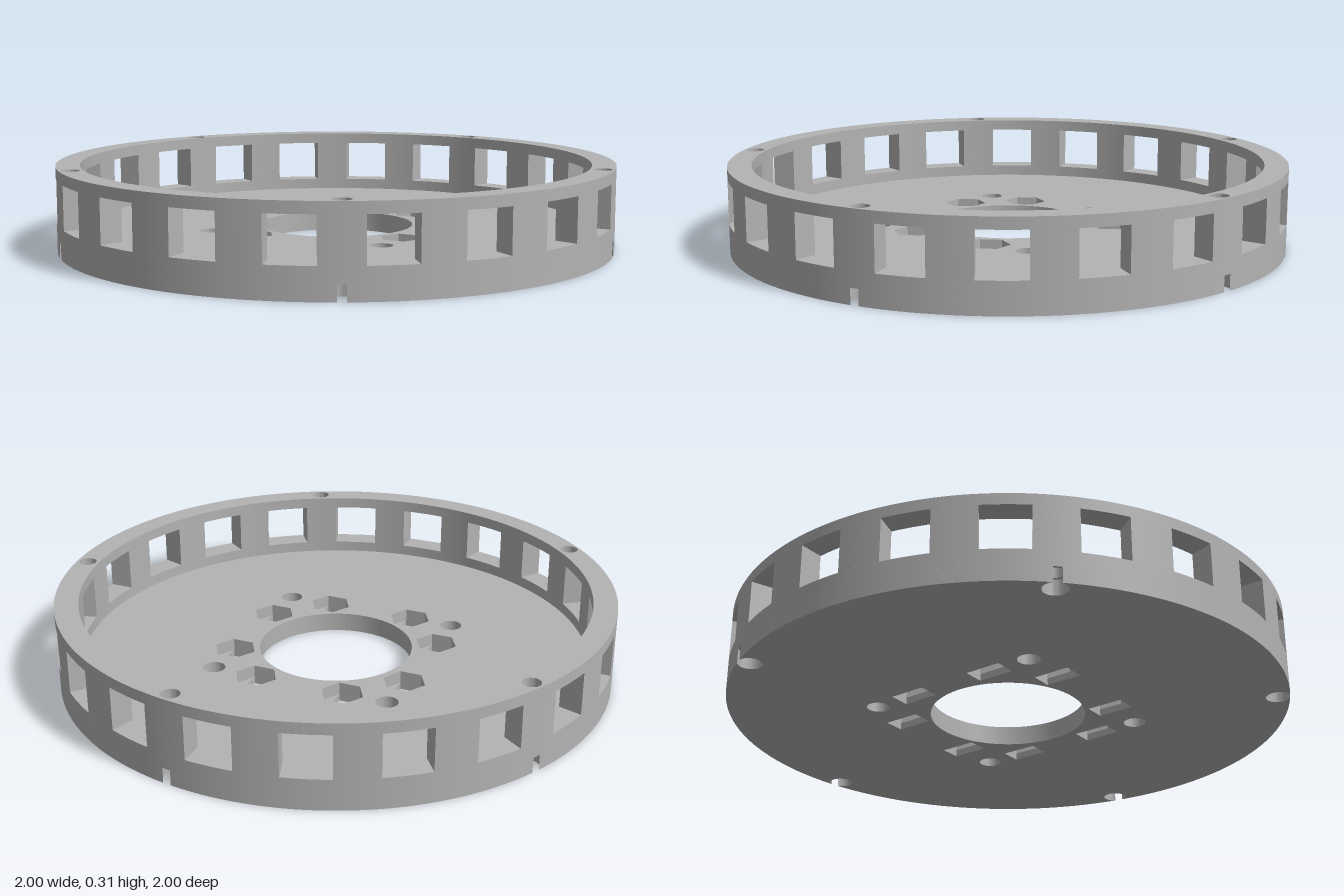
import * as THREE from 'three';
import { mergeGeometries, toCreasedNormals } from 'three/addons/utils/BufferGeometryUtils.js';

const R = 1, RI = 0.915, H = 0.305, FLOOR = 0.07; // outer / inner radius, height, floor thickness
const WIN_LOW = 0.11, WIN_HIGH = 0.265, WIN_HALF = 0.0825, WINDOWS = 20;
const BORE_TOP = 0.055, BORE_R = 0.043, BORE_GAP = 0.015, SCREW_R = 0.032;
const LEDGE = 0.025;
const RAD = Math.PI / 180;

// Points are (x, z) pairs; angles run from +x towards +z.
const arc = (cx, cz, r, a0, a1, n) => Array.from({ length: n + 1 }, (_, i) => {
  const a = a0 + (a1 - a0) * i / n;
  return new THREE.Vector2(cx + r * Math.cos(a), cz + r * Math.sin(a));
});
const circle = (cx, cz, r, n) => arc(cx, cz, r, 0, 2 * Math.PI, n).slice(0, n);
const reversed = (pts) => [...pts].reverse();

// Horizontal face at height y, looking up or down
function cap(outline, holes, y, up) {
  const shape = new THREE.Shape(outline);
  shape.holes = holes.map((h) => new THREE.Path(h));
  const g = new THREE.ShapeGeometry(shape).rotateX(Math.PI / 2).translate(0, y, 0);
  if (up) g.setIndex(Array.from(g.index.array).reverse());
  return finish(g);
}

// Upright strip along the points, facing outwards for rising angles
function wall(pts, y0, y1, closed = true) {
  const pos = [];
  const count = closed ? pts.length : pts.length - 1;
  for (let i = 0; i < count; i++) {
    const a = pts[i], b = pts[(i + 1) % pts.length];
    pos.push(a.x, y0, a.y, a.x, y1, a.y, b.x, y1, b.y);
    pos.push(a.x, y0, a.y, b.x, y1, b.y, b.x, y0, b.y);
  }
  const g = new THREE.BufferGeometry();
  g.setAttribute('position', new THREE.Float32BufferAttribute(pos, 3));
  return finish(g);
}

function finish(g) {
  const flat = g.index ? g.toNonIndexed() : g;
  flat.deleteAttribute('uv');
  flat.deleteAttribute('normal');
  flat.computeVertexNormals();
  return toCreasedNormals(flat, 30 * RAD);
}

export function createModel() {
  const group = new THREE.Group();
  const grey = new THREE.MeshStandardMaterial({ color: 0xb3b3b3 });
  grey.name = 'grey';
  const add = (name, parts) => {
    const mesh = new THREE.Mesh(mergeGeometries(parts), grey);
    mesh.name = name;
    group.add(mesh);
  };

  // Five screw holes in the rim, their wide lower bores breaking through the side
  const delta = Math.asin(BORE_GAP / R);
  const reach = Math.sqrt(BORE_R ** 2 - BORE_GAP ** 2);
  const boreC = R * Math.cos(delta) - reach;
  const beta = Math.atan2(BORE_GAP, reach);
  const outline = [], screwHoles = [], screwParts = [];
  for (let i = 0; i < 5; i++) {
    const a = (-9 + 72 * i) * RAD;
    const cx = boreC * Math.cos(a), cz = boreC * Math.sin(a);
    const notch = arc(cx, cz, BORE_R, a - beta, a - 2 * Math.PI + beta, 36);
    const rim = arc(0, 0, R, a + delta, a + 72 * RAD - delta, 72);
    outline.push(...notch, ...rim.slice(1, -1));
    const hole = circle(cx, cz, SCREW_R, 32);
    screwHoles.push(hole);
    const lip = arc(0, 0, R, a + delta, a - delta, 4).slice(1, -1);
    screwParts.push(wall(reversed(hole), BORE_TOP, H));
    screwParts.push(cap([...notch, ...lip], [hole], BORE_TOP, false));
  }
  add('screwHoles', screwParts);

  // Central opening and four round mounting holes
  const centre = circle(0, 0, 0.278, 96);
  const roundHoles = [];
  for (const x of [-0.33, 0.33]) for (const z of [-0.33, 0.33]) roundHoles.push(circle(x, z, 0.04, 32));
  add('centreHole', [wall(reversed(centre), 0, FLOOR)]);
  add('mountingHoles', roundHoles.map((h) => wall(reversed(h), 0, FLOOR)));

  // Eight hexagonal pockets, each narrowing to a rectangular slot
  const hexes = [], slots = [], pocketParts = [];
  for (const [px, pz] of [[0.165, 0.33], [0.33, 0.165]]) {
    for (const sx of [-1, 1]) for (const sz of [-1, 1]) {
      const hex = circle(px * sx, pz * sz, 0.077, 6);
      const slot = [1, 2, 4, 5].map((k) => hex[k]);
      hexes.push(hex);
      slots.push(slot);
      pocketParts.push(wall(reversed(hex), LEDGE, FLOOR), wall(reversed(slot), 0, LEDGE));
      pocketParts.push(cap([hex[5], hex[0], hex[1]], [], LEDGE, true));
      pocketParts.push(cap([hex[2], hex[3], hex[4]], [], LEDGE, true));
    }
  }
  add('hexPockets', pocketParts);

  // Floor plate
  const outer = circle(0, 0, R, 360), inner = circle(0, 0, RI, 360);
  add('underside', [cap(outline, [centre, ...roundHoles, ...slots], 0, false)]);
  add('floor', [cap(inner, [centre, ...roundHoles, ...hexes], FLOOR, true)]);

  // Ring wall: solid bands below and above the windows
  add('lowerRing', [
    wall(outline, 0, BORE_TOP),
    wall(outer, BORE_TOP, WIN_LOW),
    wall(reversed(inner), FLOOR, WIN_LOW),
  ]);
  add('upperRing', [wall(outer, WIN_HIGH, H), wall(reversed(inner), WIN_HIGH, H)]);
  add('rimTop', [cap(outer, [inner, ...screwHoles], H, true)]);

  // Pillars between the windows, with the window sills and lintels
  const step = 2 * Math.PI / WINDOWS;
  const ao = Math.asin(WIN_HALF / R), ai = Math.asin(WIN_HALF / RI);
  const pillars = [], sills = [];
  for (let i = 0; i < WINDOWS; i++) {
    const a = i * step;
    const pillar = [
      ...arc(0, 0, R, a + ao, a + step - ao, 10),
      ...arc(0, 0, RI, a + step - ai, a + ai, 10),
    ];
    pillars.push(wall(pillar, WIN_LOW, WIN_HIGH));
    const opening = [...arc(0, 0, R, a - ao, a + ao, 10), ...arc(0, 0, RI, a + ai, a - ai, 10)];
    sills.push(cap(opening, [], WIN_LOW, true), cap(opening, [], WIN_HIGH, false));
  }
  add('windowPillars', pillars);
  add('windowSills', sills);

  return group;
}
